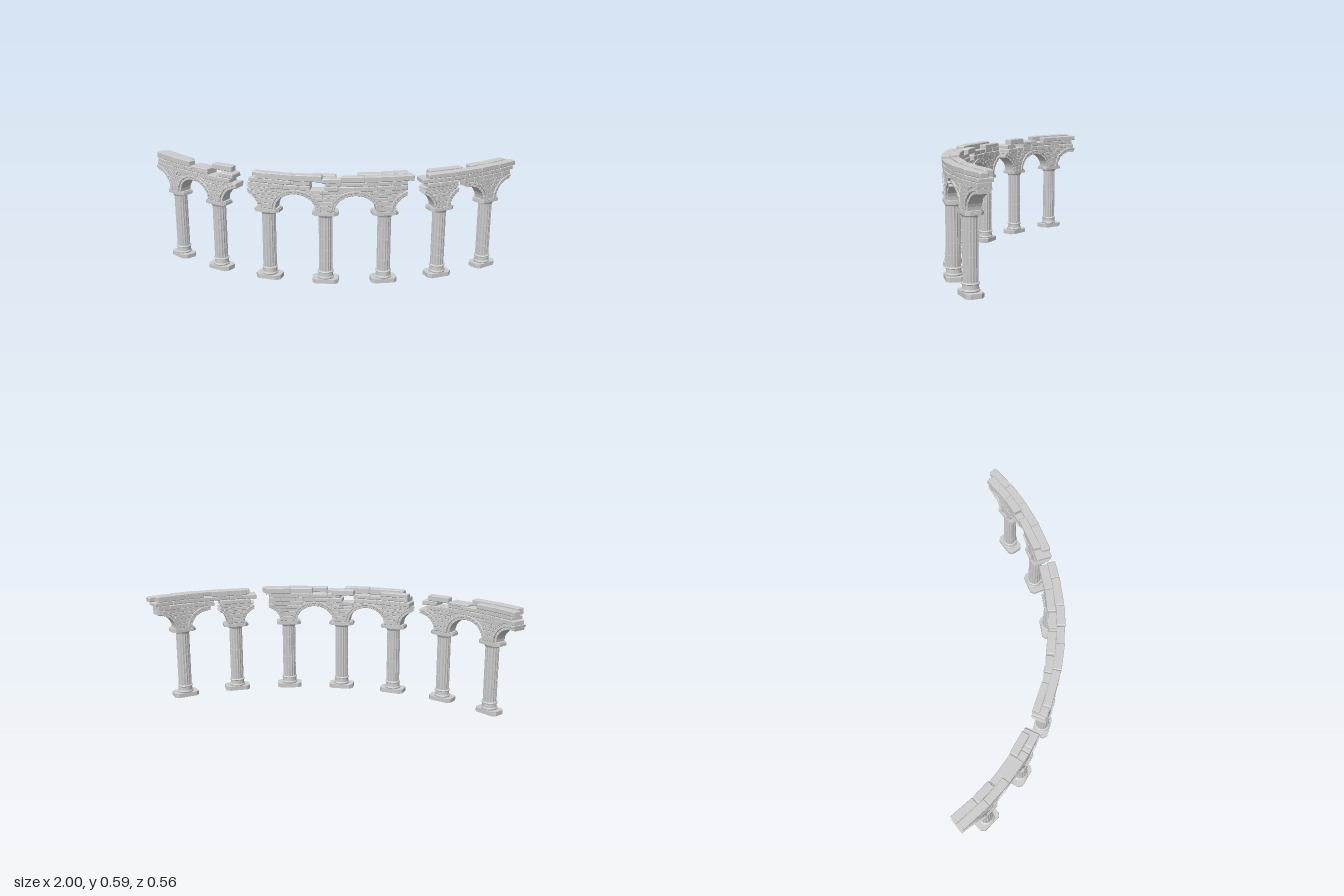
import * as THREE from 'three';

// The arcade follows a circle of radius R about (CX, CZ); u is arc length along it.
const R = 1.33, CX = -0.06, CZ = -1.09;
const HALF = 0.153;            // half the distance between columns
const SPRING = 0.397;          // height where the arches start
const mat = new THREE.MeshStandardMaterial({ color: 0xcccccc, flatShading: true, side: THREE.DoubleSide });

let seed = 7;
const rnd = () => (seed = (seed * 16807) % 2147483647) / 2147483647;
const jit = (a) => (rnd() * 2 - 1) * a;
const toU = (x) => R * Math.asin((x - CX) / R);

// Bends a flat geometry (x = u, z = depth) onto the circle
function bend(geo) {
  const p = geo.attributes.position;
  for (let i = 0; i < p.count; i++) {
    const t = p.getX(i) / R, r = R + p.getZ(i);
    p.setXYZ(i, CX + r * Math.sin(t), p.getY(i), CZ + r * Math.cos(t));
  }
  geo.computeVertexNormals();
  return geo;
}

// One stone: an outline in (u, y) with worn front and back edges, from depth z0 to z1
function stone(group, name, pts, z0, z1, bevel = 0.002) {
  const shape = new THREE.Shape(pts.map((q) => new THREE.Vector2(q[0], q[1])));
  const geo = new THREE.ExtrudeGeometry(shape, {
    depth: z1 - z0 - 2 * bevel, bevelEnabled: true, bevelSegments: 1,
    bevelThickness: bevel, bevelSize: bevel, bevelOffset: -bevel,
  });
  geo.translate(0, 0, z0 + bevel);
  const mesh = new THREE.Mesh(bend(geo), mat);
  mesh.name = name;
  group.add(mesh);
}

// Slab with cut corners for plinth and abacus
function slabGeo(w, d, cut, y0, y1) {
  const x = w / 2, z = d / 2;
  const pts = [[x, z - cut], [x - cut, z], [cut - x, z], [-x, z - cut],
    [-x, cut - z], [cut - x, -z], [x - cut, -z], [x, cut - z]];
  const geo = new THREE.ExtrudeGeometry(
    new THREE.Shape(pts.map((q) => new THREE.Vector2(q[0], q[1]))), { depth: y1 - y0, bevelEnabled: false });
  return geo.rotateX(-Math.PI / 2).translate(0, y0, 0);
}

function latheGeo(pts) {
  return new THREE.LatheGeometry(pts.map((q) => new THREE.Vector2(q[0], q[1])), 32);
}

// Fluted drum with sixteen sharp arrises
function drumGeo(h) {
  const geo = new THREE.CylinderGeometry(1, 1, h, 64, 1);
  const p = geo.attributes.position;
  for (let i = 0; i < p.count; i++) {
    const x = p.getX(i), z = p.getZ(i);
    const r = 0.0365 - 0.003 * Math.abs(Math.sin(8 * Math.atan2(z, x)));
    p.setX(i, x * r);
    p.setZ(i, z * r);
  }
  geo.computeVertexNormals();
  return geo;
}

function makeColumn(parts) {
  const column = new THREE.Group();
  column.name = 'column';
  const add = (name, geo, y = 0) => {
    const m = new THREE.Mesh(geo, mat);
    m.name = name;
    m.position.y = y;
    column.add(m);
  };
  add('plinth', parts.plinth);
  add('base', parts.base);
  add('shaftCore', parts.core, 0.215);
  for (let i = 0; i < 5; i++) add('shaftDrum', parts.drum, 0.093 + i * 0.06);
  add('capital', parts.capital);
  add('abacus', parts.abacus);
  add('abacusTop', parts.abacusTop);
  return column;
}

// Half arch rising from one side of a column, built as two stepped rings of voussoirs
function halfArch(group, u, side, reach) {
  const rings = [[0.105, 0.086, 0.119, 0.100, 0.035, 8], [0.119, 0.100, 0.132, 0.112, 0.042, 7]];
  for (const [a0, b0, a1, b1, depth, full] of rings) {
    const end = Math.acos((HALF - reach) / a1);
    const n = Math.max(2, Math.round(end / (Math.PI / 2) * full));
    const at = (a, b, t) => [u + side * (HALF - a * Math.cos(t)), SPRING + b * Math.sin(t)];
    for (let i = 0; i < n; i++) {
      const t0 = end * i / n, t1 = end * (i + 1) / n;
      stone(group, 'voussoir', [at(a0, b0, t0), at(a1, b1, t0), at(a1, b1, t1), at(a0, b0, t1)],
        -depth - jit(0.0015), depth + jit(0.0015));
    }
  }
}

// Courses of stones filling the wall above a column between its arches
function spandrel(group, u, reach) {
  const rows = [SPRING, 0.425, 0.45, 0.47, 0.488, 0.509];
  const width = (y) => HALF - 0.13 * Math.sqrt(Math.max(0, 1 - ((y - SPRING) / 0.112) ** 2));
  for (let i = 0; i < rows.length - 1; i++) {
    const y0 = rows[i], y1 = rows[i + 1];
    const l = reach[0] + jit(0.008), r = reach[1] + jit(0.008);
    const lim = (y, m) => Math.min(width(y), m >= HALF - 0.009 ? HALF : m);
    const l0 = -lim(y0, l), l1 = -lim(y1, l), r0 = lim(y0, r), r1 = lim(y1, r);
    const n = Math.max(1, Math.round((r1 - l1) / 0.06));
    const cuts = [0];
    for (let k = 1; k < n; k++) cuts.push((k + jit(0.25)) / n);
    cuts.push(1);
    for (let k = 0; k < n; k++) {
      const a = cuts[k], b = cuts[k + 1];
      const mix = (p, q, f) => u + p + (q - p) * f;
      stone(group, 'spandrelStone', [[mix(l0, r0, a), y0], [mix(l0, r0, b), y0],
        [mix(l1, r1, b), y1], [mix(l1, r1, a), y1]], -0.036 - jit(0.002), 0.036 + jit(0.002));
    }
  }
}

// A run of blocks between two x positions
function course(group, name, [x0, x1, y0, y1, z0, z1], len) {
  const a = toU(x0), b = toU(x1), n = Math.max(1, Math.round((b - a) / len));
  let left = a;
  for (let i = 0; i < n; i++) {
    const right = i === n - 1 ? b : a + (b - a) * (i + 1 + jit(0.25)) / n;
    const c = 0.003 + rnd() * 0.003, top = y1 - rnd() * 0.003;
    stone(group, name, [[left, y0], [right, y0], [right, top - c], [right - c, top], [left + c, top],
      [left, top - c]], z0 + jit(0.002), z1 + jit(0.002), 0.003);
    left = right;
  }
}

export function createModel() {
  seed = 7;
  const model = new THREE.Group();
  model.name = 'ruinedArcade';
  const parts = {
    plinth: slabGeo(0.137, 0.09, 0.018, 0, 0.023),
    base: latheGeo([[0, 0.023], [0.042, 0.023], [0.044, 0.028], [0.042, 0.033], [0.039, 0.035], [0.038, 0.055],
      [0.042, 0.057], [0.043, 0.06], [0.041, 0.063], [0.036, 0.065], [0, 0.065]]),
    core: new THREE.CylinderGeometry(0.0325, 0.0325, 0.31, 24),
    drum: drumGeo(0.0585),
    capital: latheGeo([[0, 0.361], [0.037, 0.361], [0.038, 0.366], [0.041, 0.369], [0.045, 0.377], [0, 0.377]]),
    abacus: slabGeo(0.137, 0.09, 0.018, 0.377, 0.392),
    abacusTop: slabGeo(0.126, 0.082, 0.016, 0.392, SPRING),
  };

  // How far the masonry reaches left and right of each column; short values are broken edges
  const reaches = [[0.175, HALF], [HALF, 0.137], [0.1, HALF], [HALF, HALF],
    [HALF, 0.107], [0.103, 0.088], [0.16, 0.146]];
  reaches.forEach((reach, i) => {
    const theta = 0.0725 + 0.2302 * (i - 3);
    const column = makeColumn(parts);
    column.position.set(CX + R * Math.sin(theta), 0, CZ + R * Math.cos(theta));
    column.rotation.y = theta;
    model.add(column);
    const wall = new THREE.Group();
    wall.name = 'archesAndSpandrel';
    halfArch(wall, theta * R, -1, reach[0]);
    halfArch(wall, theta * R, 1, reach[1]);
    spandrel(wall, theta * R, reach);
    model.add(wall);
  });

  // Broken courses above the arches: x range, y range, depth range
  const upper = new THREE.Group();
  upper.name = 'upperCourses';
  const wallRuns = [[-0.96, -0.47], [-0.37, -0.04], [0.03, 0.44], [0.54, 0.69], [0.72, 0.96]];
  for (const [a, b] of wallRuns) course(upper, 'wallStone', [a, b, 0.507, 0.534, -0.037, 0.037], 0.07);
  const middleRuns = [[-0.95, -0.6], [-0.53, -0.45], [-0.36, -0.04], [0.04, 0.44], [0.51, 0.97]];
  for (const [a, b] of middleRuns) course(upper, 'corniceStone', [a, b, 0.534, 0.558, -0.04, 0.041], 0.09);
  const topRuns = [
    [-0.95, -0.71, 0.558, 0.592, 0.0, 0.044], [-0.965, -0.76, 0.556, 0.585, -0.044, 0.0],
    [-0.71, -0.6, 0.55, 0.566, -0.04, 0.04], [-0.6, -0.48, 0.558, 0.59, -0.044, 0.002],
    [-0.32, 0.02, 0.556, 0.59, 0.0, 0.045], [-0.36, -0.2, 0.556, 0.58, -0.042, 0.0],
    [0.02, 0.12, 0.548, 0.574, 0.0, 0.045], [-0.04, 0.09, 0.55, 0.582, -0.045, 0.0],
    [0.12, 0.47, 0.556, 0.586, 0.0, 0.045], [0.2, 0.46, 0.556, 0.59, -0.045, 0.0],
    [0.54, 0.98, 0.556, 0.583, 0.0, 0.043], [0.56, 0.73, 0.556, 0.59, -0.044, 0.0],
    [0.77, 0.96, 0.556, 0.59, -0.045, 0.0],
  ];
  for (const run of topRuns) course(upper, 'copingBlock', run, 0.14);
  model.add(upper);
  return model;
}
